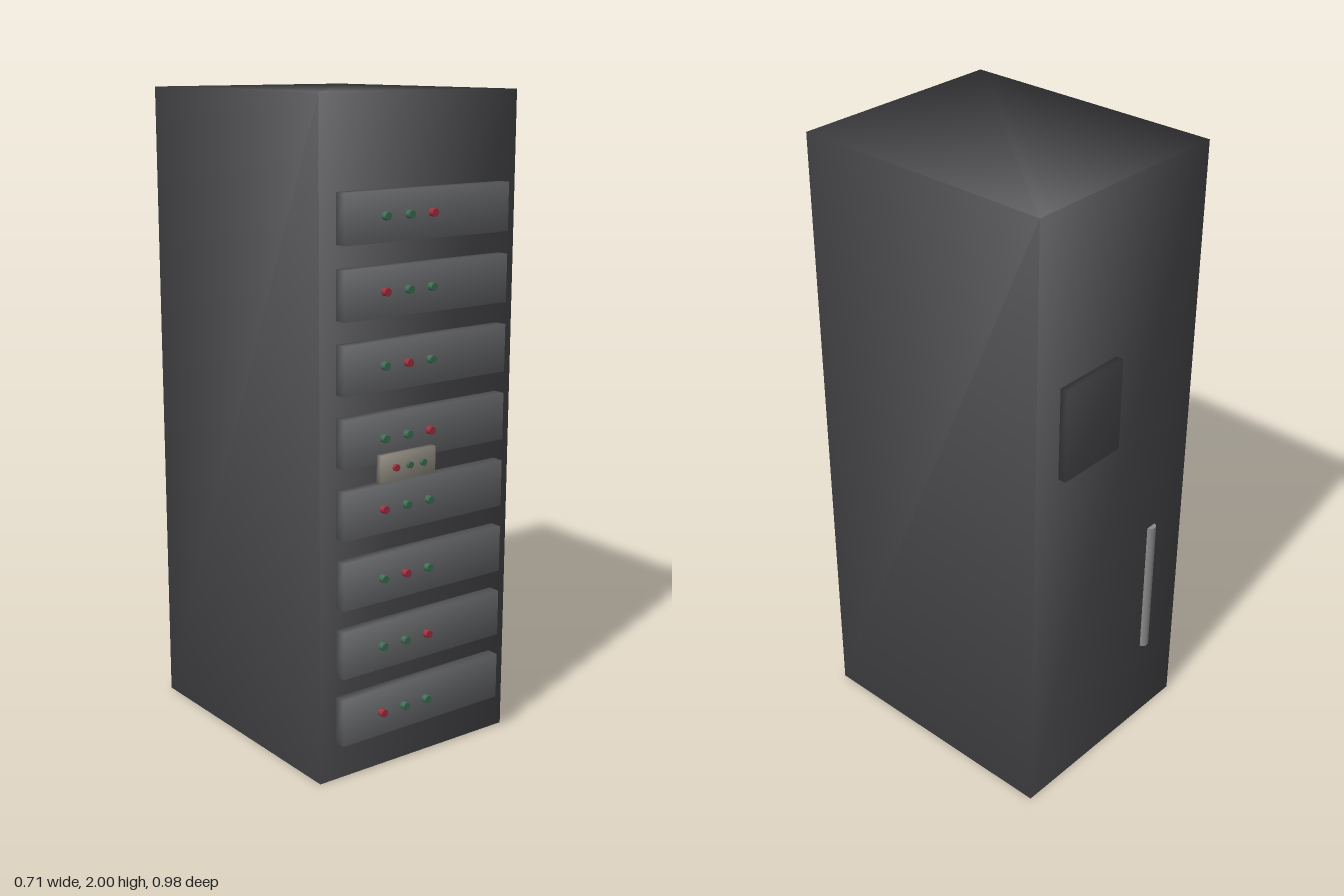
import * as THREE from 'three';
import { mergeVertices } from 'three/addons/utils/BufferGeometryUtils.js';

const paint = (color) => new THREE.MeshStandardMaterial({ color });
const bodyPaint = paint(0x4b4b4e);
const drawerPaint = paint(0x6c6d6f);
const platePaint = paint(0x9a958a);
const handlePaint = paint(0x8a8a8a);
const red = paint(0xa03040);
const green = paint(0x3f6f55);

// Box between two corners, with shared corners so its shading runs smoothly over the edges
function softBox(name, material, [x0, y0, z0], [x1, y1, z1]) {
  let geometry = new THREE.BoxGeometry(x1 - x0, y1 - y0, z1 - z0);
  geometry.deleteAttribute('normal');
  geometry.deleteAttribute('uv');
  geometry = mergeVertices(geometry);
  geometry.computeVertexNormals();
  const mesh = new THREE.Mesh(geometry, material);
  mesh.name = name;
  mesh.position.set((x0 + x1) / 2, (y0 + y1) / 2, (z0 + z1) / 2);
  return mesh;
}

// Three small round lights in a row, one of them red
function lightRow(startX, step, y, z, radius, depth, redIndex) {
  const row = new THREE.Group();
  row.name = 'lightRow';
  const geometry = new THREE.CylinderGeometry(radius, radius, depth, 12).rotateX(Math.PI / 2);
  for (let i = 0; i < 3; i++) {
    const light = new THREE.Mesh(geometry, i === redIndex ? red : green);
    light.name = i === redIndex ? 'redLight' : 'greenLight';
    light.position.set(startX + i * step, y, z + depth / 2);
    row.add(light);
  }
  return row;
}

export function createModel() {
  const model = new THREE.Group();
  model.name = 'equipmentCabinet';

  model.add(softBox('cabinetBody', bodyPaint, [-0.357, 0, -0.465], [0.357, 2, 0.4]));

  // Eight drawer units on the front, top to bottom
  for (let i = 0; i < 8; i++) {
    const y = 1.664 - i * 0.2105;
    const unit = new THREE.Group();
    unit.name = 'drawerUnit';
    unit.add(softBox('drawerFront', drawerPaint, [-0.3, y - 0.072, 0.398], [0.3, y + 0.072, 0.438]));
    unit.add(lightRow(-0.16, 0.084, y + 0.002, 0.436, 0.012, 0.02, (2 - i % 3 + (i % 3) * 2) % 3));
    model.add(unit);
  }

  // Small control plate standing in front of the drawers
  const control = new THREE.Group();
  control.name = 'controlPlate';
  control.add(softBox('plate', platePaint, [-0.198, 0.915, 0.457], [0.002, 0.995, 0.477]));
  control.add(lightRow(-0.147, 0.05, 0.955, 0.475, 0.01, 0.013, 0));
  model.add(control);

  // Back: service cover and upright door handle
  model.add(softBox('serviceCover', bodyPaint, [0.02, 1.175, -0.49], [0.26, 1.47, -0.462]));
  const handle = new THREE.Mesh(
    new THREE.CylinderGeometry(0.0195, 0.0195, 0.475, 8, 1, false, Math.PI / 8), handlePaint);
  handle.name = 'doorHandle';
  handle.position.set(-0.2, 0.532, -0.462);
  model.add(handle);

  return model;
}
